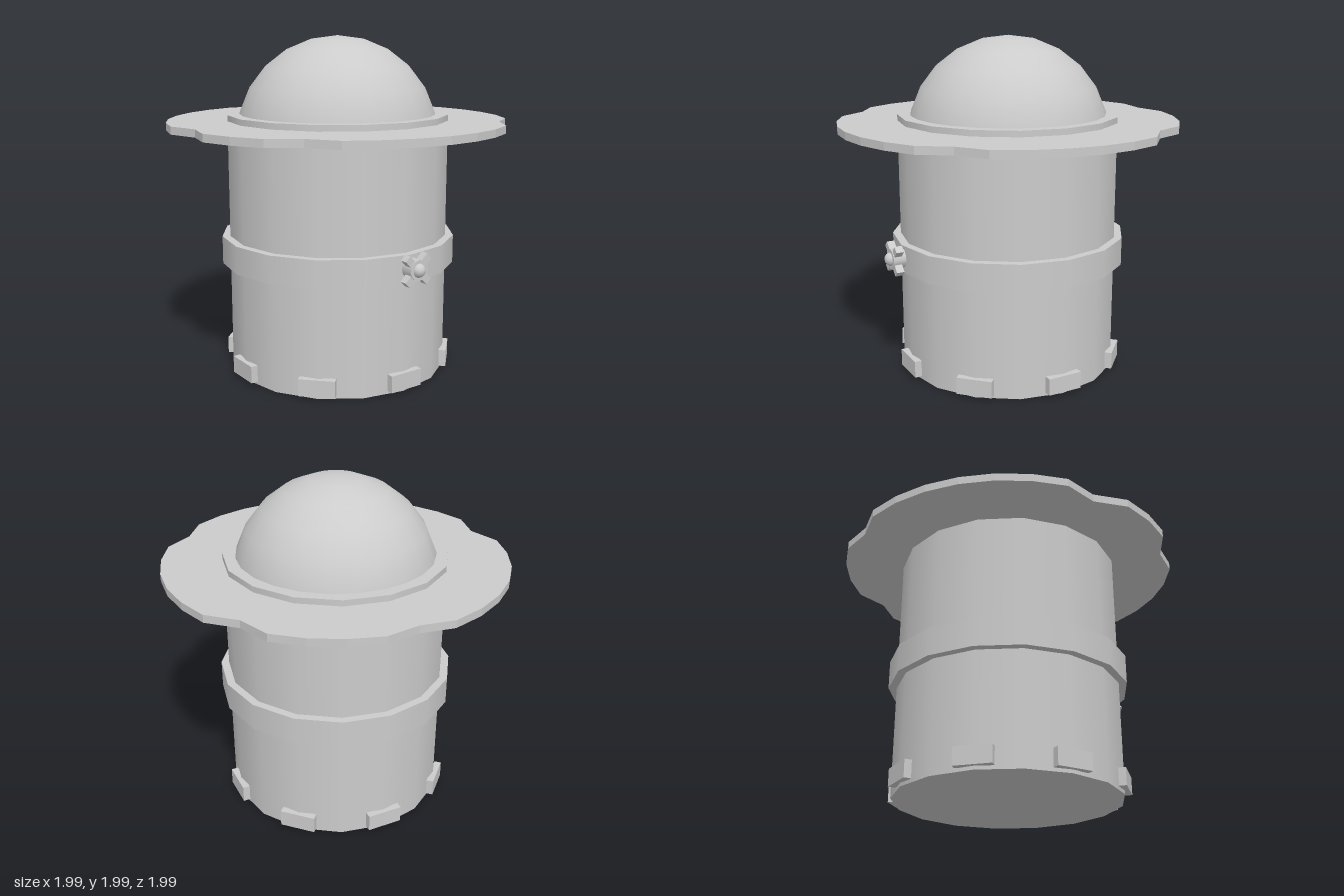
import * as THREE from 'three';

const material = new THREE.MeshStandardMaterial({ color: 0xcccccc });

function add(parent, name, geometry, x = 0, y = 0, z = 0) {
  const mesh = new THREE.Mesh(geometry, material);
  mesh.name = name;
  mesh.position.set(x, y, z);
  parent.add(mesh);
  return mesh;
}

// Flat rim: a 32-sided disc with a few shallow notches
function rimGeometry() {
  const notches = { 3: 0.94, 8: 0.957, 16: 0.935, 20: 0.95, 28: 0.95 };
  const points = [];
  for (let i = 0; i < 32; i++) {
    const a = (i / 32) * Math.PI * 2;
    const r = notches[i] ?? 1.007;
    points.push(new THREE.Vector2(r * Math.cos(a), r * Math.sin(a)));
  }
  return new THREE.ExtrudeGeometry(new THREE.Shape(points), { depth: 0.045, bevelEnabled: false })
    .rotateX(-Math.PI / 2);
}

// Hand valve facing +z: hub, four diagonal spokes and a round knob
function createValve() {
  const valve = new THREE.Group();
  valve.name = 'valve';
  add(valve, 'valveHub', new THREE.CylinderGeometry(0.06, 0.06, 0.075, 12).rotateX(Math.PI / 2), 0, 0, 0.035);
  add(valve, 'valveKnob', new THREE.SphereGeometry(0.04, 12, 8), 0, 0, 0.067);
  for (let i = 0; i < 2; i++) {
    const bar = add(valve, 'valveSpoke', new THREE.BoxGeometry(0.21, 0.042, 0.045), 0, 0, 0.045);
    bar.rotation.z = Math.PI / 4 + i * Math.PI / 2;
  }
  return valve;
}

export function createModel() {
  const model = new THREE.Group();
  model.name = 'domedCanister';

  // Everything shares one axis, slightly off centre because of the uneven rim
  const core = new THREE.Group();
  core.name = 'core';
  core.position.set(-0.01, 0, -0.01);
  model.add(core);

  add(core, 'body', new THREE.CylinderGeometry(0.655, 0.655, 1.535, 16), 0, 0.7675, 0);
  add(core, 'dome', new THREE.SphereGeometry(0.6, 24, 6, 0, Math.PI * 2, 0, Math.PI / 2), 0, 1.39, 0);
  add(core, 'rim', rimGeometry(), 0, 1.455, 0);
  add(core, 'band', new THREE.CylinderGeometry(0.702, 0.702, 0.165, 16), 0, 0.7325, 0);

  const valve = createValve();
  valve.position.set(0, 0.74, 0.7);
  core.add(valve);

  // Eight blocks around the base
  for (let i = 0; i < 8; i++) {
    const a = (i / 8) * Math.PI * 2;
    const block = add(core, 'baseBlock', new THREE.BoxGeometry(0.21, 0.1, 0.042),
      0.66 * Math.sin(a), 0.07, 0.66 * Math.cos(a));
    block.rotation.y = a;
  }
  return model;
}
